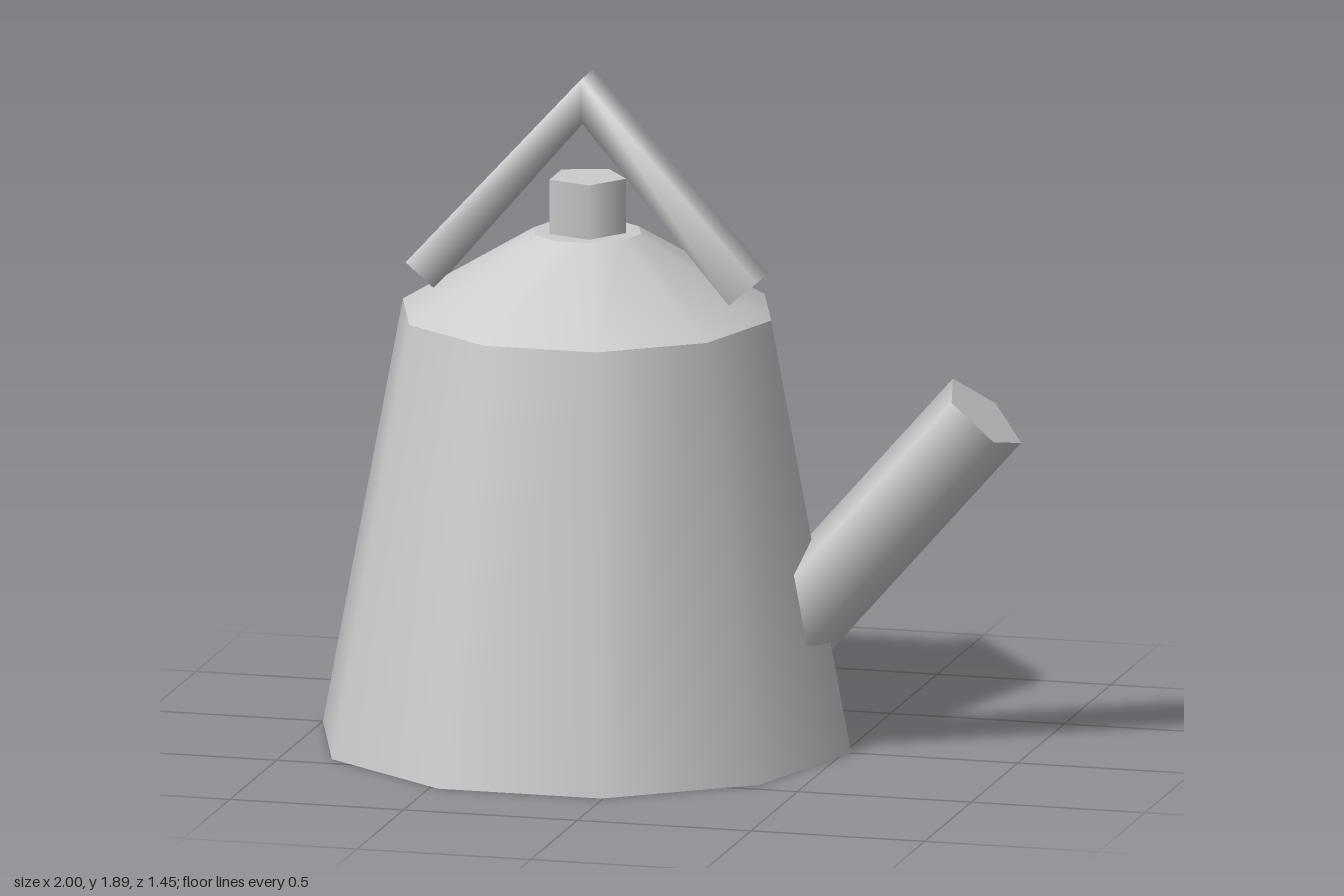
import * as THREE from 'three';
import { mergeVertices } from 'three/addons/utils/BufferGeometryUtils.js';

const AXIS_X = -0.24; // vertical axis of the kettle body

export function createModel() {
  const group = new THREE.Group();
  group.name = 'kettle';
  const greyMetal = new THREE.MeshStandardMaterial({ color: 0xcccccc, side: THREE.DoubleSide });
  greyMetal.name = 'grey metal';

  const add = (name, geometry) => {
    const mesh = new THREE.Mesh(geometry, greyMetal);
    mesh.name = name;
    group.add(mesh);
  };

  // Upright prism on the kettle axis, with one corner pointing to +x
  const upright = (name, rTop, rBottom, y0, y1, sides, open) => {
    const g = new THREE.CylinderGeometry(rTop, rBottom, y1 - y0, sides, 1, open, Math.PI / 2);
    g.translate(AXIS_X, (y0 + y1) / 2, 0);
    add(name, g);
  };
  upright('body', 0.53, 0.76, 0, 1.22, 10, true); // open underneath
  upright('lid', 0.155, 0.53, 1.22, 1.445, 10, true);
  upright('knob', 0.112, 0.112, 1.445, 1.6, 5, false);

  // Flat top of the lid
  const lidTop = new THREE.CircleGeometry(0.155, 10);
  lidTop.rotateX(-Math.PI / 2);
  lidTop.translate(AXIS_X, 1.445, 0);
  add('lidTop', lidTop);

  // Five-sided spout leaning out to the left
  const length = 0.9;
  const spout = new THREE.CylinderGeometry(0.137, 0.137, length, 5, 1, false, Math.PI);
  spout.translate(0, -length / 2, 0);
  spout.rotateZ(-Math.atan2(0.658, 0.753));
  spout.translate(0.9, 0.99, 0);
  add('spout', spout);

  // Bent square tube with open ends: three sections, the middle one at the peak
  const tube = new THREE.CylinderGeometry(Math.SQRT2, Math.SQRT2, 2, 4, 2, true, Math.PI / 4);
  tube.deleteAttribute('uv');
  tube.deleteAttribute('normal');
  const handle = mergeVertices(tube);
  const pos = handle.attributes.position;
  const lerp = THREE.MathUtils.lerp;
  for (let i = 0; i < pos.count; i++) {
    const outer = pos.getX(i);
    const along = pos.getY(i);
    const rise = 1 - Math.abs(along);
    pos.setXYZ(
      i,
      AXIS_X - along * (0.465 + outer * 0.04),
      lerp(1.305, 1.83, rise) + outer * lerp(0.034, 0.061, rise),
      pos.getZ(i) * 0.064
    );
  }
  handle.computeVertexNormals();
  add('handle', handle);

  return group;
}
